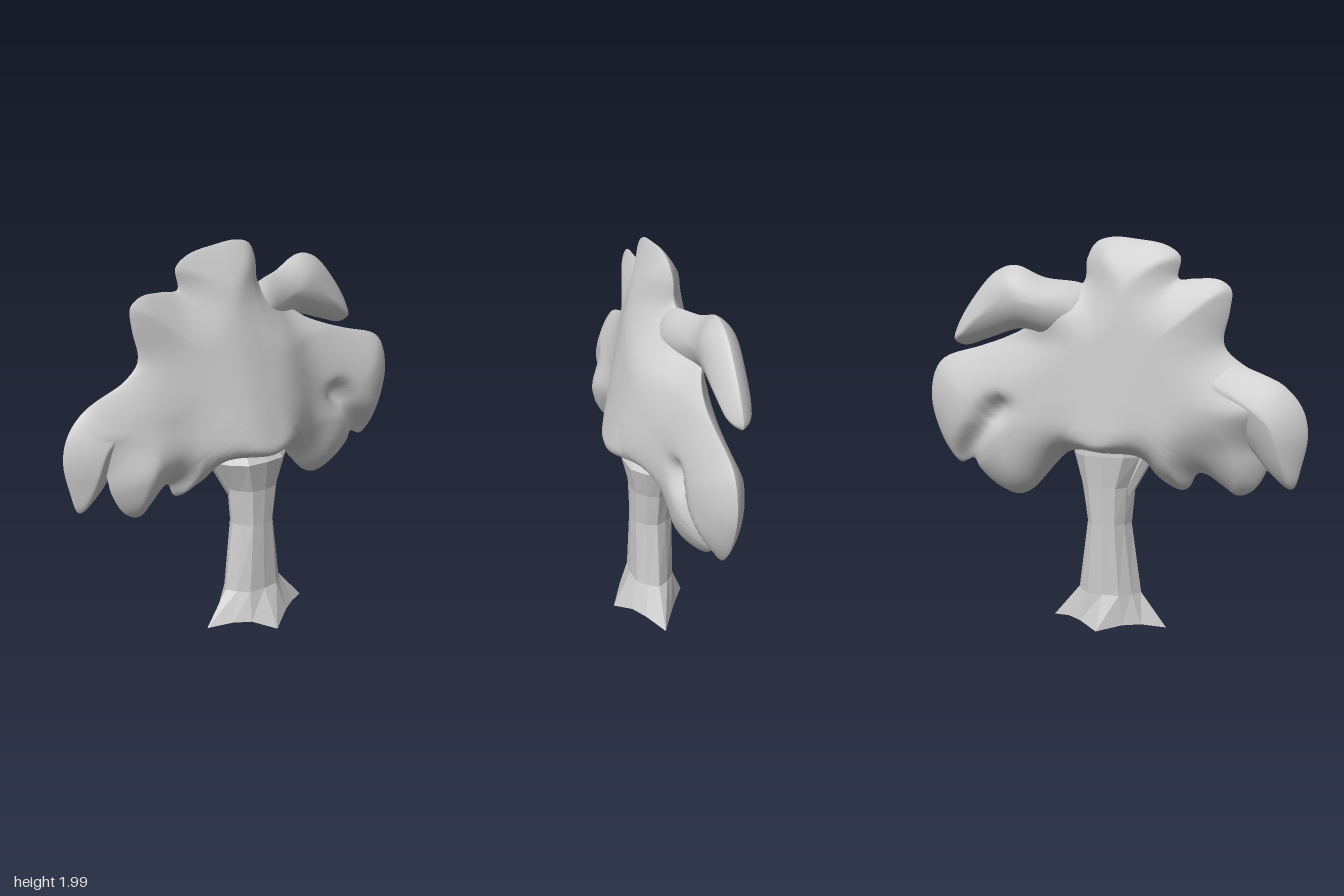
import * as THREE from 'three';
import { mergeGeometries, mergeVertices } from 'three/addons/utils/BufferGeometryUtils.js';

const { clamp, smoothstep } = THREE.MathUtils;
const bell = (x, w, power = 2) => Math.exp(-(Math.abs(x / w) ** power));

// Foliage thickness in front of and behind the seam, fullest low and central
const frontDepth = (x, y) => (0.14 + 0.155 * bell(x, 0.3, 3)) * clamp(1 - 0.75 * (y - 1.02), 0.3, 1);
const backDepth = (x, y) => (0.12 + 0.072 * bell(x, 0.4)) * clamp(1 - 0.5 * (y - 1.05), 0.4, 1);

// Width of the rounded margin, tight along the underside above the trunk
const margin = (x, y) => 0.29 - 0.23 * bell(x, 0.32) * (1 - smoothstep(y, 0.95, 1.25));

// Rim of the canopy: swings forward low on the right, backward high on the left
const canopySeam = (x, y) => -0.05
  + 0.07 * smoothstep(-x, 0.3, 0.7) * (1 - smoothstep(y, 0.95, 1.2))
  - 0.08 * smoothstep(x, 0.02, 0.35) * smoothstep(y, 1.45, 1.65);

// Distance from (x, y) to the segment a-b
function segmentDistance(x, y, [ax, ay], [bx, by]) {
  const ux = bx - ax, uy = by - ay;
  const t = clamp(((x - ax) * ux + (y - ay) * uy) / (ux * ux + uy * uy), 0, 1);
  return Math.hypot(x - ax - ux * t, y - ay - uy * t);
}

// Inflates a closed outline: thin at its crisp rim, swelling with distance from it
function pillow({ outline, centre, seam, front = frontDepth, back = backDepth,
  width = margin, creases = [] }) {
  const curve = new THREE.CatmullRomCurve3(
    outline.map(([x, y]) => new THREE.Vector3(x, y, 0)), true, 'centripetal');
  const rim = curve.getPoints(outline.length * 5).slice(0, -1);
  if (THREE.ShapeUtils.isClockWise(rim)) rim.reverse();
  const n = rim.length, rings = 24;
  const [cx, cy] = centre;
  const edges = rim.map((p, i) => [[p.x, p.y], [rim[(i + 1) % n].x, rim[(i + 1) % n].y]]);

  const swell = (x, y) => {
    let d = Infinity;
    for (const [a, b] of edges) d = Math.min(d, segmentDistance(x, y, a, b));
    let h = Math.pow(1 - (1 - Math.min(d / width(x, y), 1)) ** 2, 0.8);
    for (const { from, to, depth } of creases) h *= 1 - depth * bell(segmentDistance(x, y, from, to), 0.05);
    return h;
  };

  const sides = [1, -1].map((side) => {
    const pos = [], index = [];
    for (let k = 0; k <= rings; k++) {
      const s = Math.sin((k / rings) * Math.PI / 2);
      for (const p of rim) {
        const x = cx + (p.x - cx) * s, y = cy + (p.y - cy) * s;
        const h = k === rings ? 0 : swell(x, y);
        pos.push(x, y, seam(x, y) + side * h * (side > 0 ? front(x, y) : back(x, y)));
      }
    }
    for (let k = 0; k < rings; k++) {
      for (let j = 0; j < n; j++) {
        const a = k * n + j, b = k * n + (j + 1) % n, c = a + n, d = b + n;
        const faces = side > 0 ? [a, c, d, a, d, b] : [a, d, c, a, b, d];
        index.push(...(k === 0 ? faces.slice(0, 3) : faces));
      }
    }
    let g = new THREE.BufferGeometry();
    g.setAttribute('position', new THREE.Float32BufferAttribute(pos, 3));
    g.setIndex(index);
    g = mergeVertices(g, 1e-5);
    g.computeVertexNormals();
    return g;
  });
  return mergeGeometries(sides);
}

const foliage = {
  canopy: {
    centre: [0, 1.25], seam: canopySeam,
    outline: [[0.98, 1.29], [0.92, 1.37], [0.7, 1.44], [0.55, 1.49], [0.42, 1.55], [0.28, 1.68],
      [0.12, 1.77], [0.105, 1.88], [0.06, 1.96], [-0.02, 1.985], [-0.15, 1.975], [-0.3, 1.945],
      [-0.37, 1.89], [-0.36, 1.79], [-0.45, 1.79], [-0.56, 1.785], [-0.62, 1.74], [-0.615, 1.64],
      [-0.59, 1.48], [-0.7, 1.38], [-0.88, 1.3], [-0.95, 1.2], [-0.92, 1.1], [-0.83, 1.02],
      [-0.8, 0.9], [-0.73, 0.78], [-0.65, 0.745], [-0.58, 0.79], [-0.49, 0.85], [-0.455, 0.845],
      [-0.42, 0.78], [-0.38, 0.765], [-0.27, 0.82], [-0.18, 0.91], [0, 0.925], [0.2, 0.925],
      [0.27, 0.87], [0.34, 0.79], [0.42, 0.71], [0.5, 0.68], [0.62, 0.72], [0.72, 0.8],
      [0.757, 0.852], [0.83, 0.825], [0.9, 0.89], [0.96, 1.0], [1, 1.15]],
    creases: [
      { from: [0.57, 1.13], to: [0.79, 0.86], depth: 0.5 },
      { from: [0.55, 1.15], to: [0.59, 1.1], depth: 0.4 }],
  },
  rightOuterLobe: {
    centre: [-0.78, 1.15], seam: () => -0.055,
    outline: [[-0.45, 1.4], [-0.58, 1.43], [-0.7, 1.38], [-0.88, 1.3], [-0.97, 1.2], [-1, 1.08],
      [-0.975, 0.93], [-0.93, 0.81], [-0.83, 0.875], [-0.72, 1.0], [-0.6, 1.1], [-0.42, 1.18]],
  },
  leftUpperLobe: {
    centre: [0.42, 1.67],
    seam: (x) => -0.05 - 0.095 * smoothstep(x, 0.05, 0.4),
    front: () => 0.085, back: () => 0.092, width: () => 0.15,
    outline: [[0.06, 1.72], [0.14, 1.765], [0.3, 1.79], [0.45, 1.85], [0.56, 1.82], [0.68, 1.7],
      [0.78, 1.55], [0.8, 1.475], [0.74, 1.45], [0.6, 1.49], [0.42, 1.54], [0.25, 1.5], [0, 1.5]],
  },
};

// Faceted trunk: stacked fluted rings, the lowest one drawn out into pointed roots
function trunkGeometry() {
  const sides = 12;
  const sections = [ // y, centre x, radius x, centre z, radius z
    [0.03, 0.03, 0.31, 0.04, 0.19], [0.2, 0.02, 0.17, 0.025, 0.115], [0.56, 0.02, 0.12, 0.02, 0.11],
    [0.75, 0.025, 0.145, 0.02, 0.115], [0.91, 0.01, 0.21, 0.03, 0.14], [1.0, 0.01, 0.17, 0, 0.1]];
  const pos = [], index = [];
  sections.forEach(([y, cx, rx, cz, rz], row) => {
    for (let j = 0; j < sides; j++) {
      const a = (j / sides) * Math.PI * 2, tip = j % 3 === 0;
      const r = row === 0 ? (tip ? 1 : 0.74) : (j % 2 ? 0.94 : 1);
      const drop = row === 0 ? (j === 3 ? -0.03 : tip ? -0.005 : 0.02) : 0;
      pos.push(cx + rx * r * Math.cos(a), y + drop, cz + rz * r * Math.sin(a));
    }
  });
  for (let row = 0; row < sections.length - 1; row++) {
    for (let j = 0; j < sides; j++) {
      const a = row * sides + j, b = row * sides + (j + 1) % sides;
      index.push(a, a + sides, b, b, a + sides, b + sides);
    }
  }
  // Underside
  const hub = pos.length / 3;
  pos.push(0.03, 0.05, 0.03);
  for (let j = 0; j < sides; j++) index.push(hub, j, (j + 1) % sides);
  const g = new THREE.BufferGeometry();
  g.setAttribute('position', new THREE.Float32BufferAttribute(pos, 3));
  g.setIndex(index);
  g.computeVertexNormals();
  return g;
}

export function createModel() {
  const group = new THREE.Group();
  const smooth = new THREE.MeshStandardMaterial({ color: 0xcccccc });
  const faceted = new THREE.MeshStandardMaterial({ color: 0xcccccc, flatShading: true });
  const add = (name, geometry, material) => {
    const mesh = new THREE.Mesh(geometry, material);
    mesh.name = name;
    group.add(mesh);
    return mesh;
  };

  for (const [name, spec] of Object.entries(foliage)) add(name, pillow(spec), smooth);
  add('trunk', trunkGeometry(), faceted);

  // Short branch forking off the trunk into the foliage
  const from = new THREE.Vector3(-0.07, 0.7, 0), to = new THREE.Vector3(-0.2, 0.95, 0);
  const along = to.clone().sub(from);
  const branch = add('branch', new THREE.CylinderGeometry(0.045, 0.03, along.length(), 6), faceted);
  branch.position.copy(from).lerp(to, 0.5);
  branch.quaternion.setFromUnitVectors(new THREE.Vector3(0, 1, 0), along.normalize());
  return group;
}
